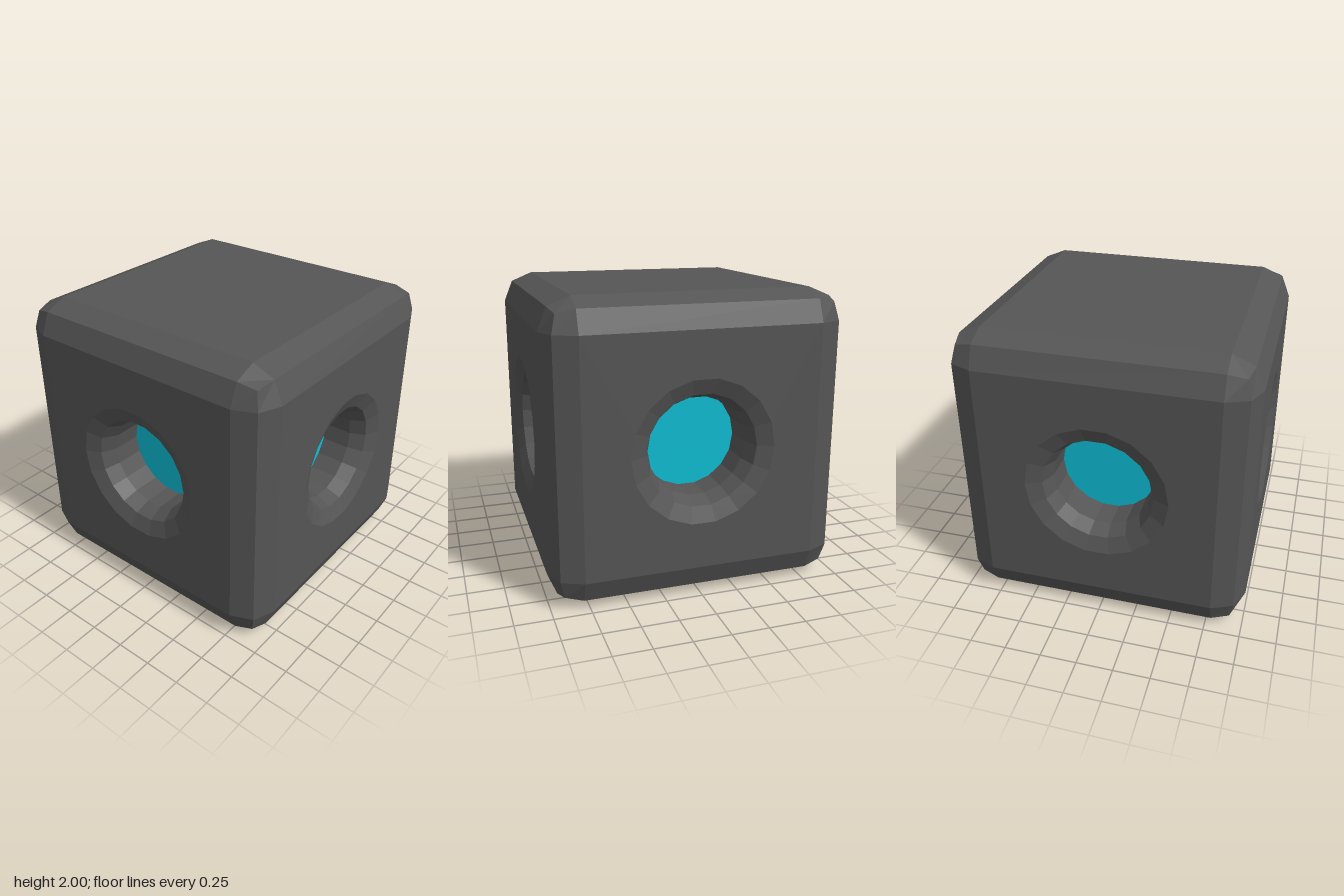
import * as THREE from 'three';
import { RoundedBoxGeometry } from 'three/addons/geometries/RoundedBoxGeometry.js';

const SIDES = 18;      // facets around each port
const BEVEL = 0.21;    // rounding of the cube edges
const RIM = 0.15;      // rounding of the port rim
const RADIUS = 0.335;  // port radius
const LENS_Z = 0.65;   // how far the lens sits from the centre

const flat = (geometry) => {
  const g = geometry.index ? geometry.toNonIndexed() : geometry;
  g.computeVertexNormals();
  return g;
};

// Bevelled cube without the flat centres of its four upright faces
function shellGeometry() {
  const box = new RoundedBoxGeometry(2, 2, 2, 1, BEVEL);
  const source = box.index ? box.toNonIndexed() : box;
  const p = source.attributes.position;
  const kept = [];
  for (let i = 0; i < p.count; i += 3) {
    const corners = [i, i + 1, i + 2];
    const onSide = ['getX', 'getZ'].some((get) => corners.every((k) => Math.abs(p[get](k)) > 0.999));
    if (!onSide) corners.forEach((k) => kept.push(p.getX(k), p.getY(k), p.getZ(k)));
  }
  const g = new THREE.BufferGeometry();
  g.setAttribute('position', new THREE.Float32BufferAttribute(kept, 3));
  return flat(g);
}

// Square panel with a polygonal opening
function panelGeometry() {
  const s = 1 - BEVEL;
  const shape = new THREE.Shape([[-s, -s], [s, -s], [s, s], [-s, s]].map(([x, y]) => new THREE.Vector2(x, y)));
  const ring = [];
  for (let i = 0; i < SIDES; i++) {
    const a = (-i / SIDES) * Math.PI * 2;
    ring.push(new THREE.Vector2(Math.cos(a), Math.sin(a)).multiplyScalar(RADIUS + RIM));
  }
  shape.holes.push(new THREE.Path(ring));
  return flat(new THREE.ShapeGeometry(shape).translate(0, 0, 1));
}

// Rounded rim running into a straight recess
function recessGeometry() {
  const mid = RIM * (1 - Math.SQRT1_2);
  const profile = [
    [RADIUS + RIM, 1], [RADIUS + mid, 1 - mid], [RADIUS, 1 - RIM], [RADIUS, LENS_Z],
  ].map(([r, z]) => new THREE.Vector2(r, z));
  return flat(new THREE.LatheGeometry(profile, SIDES, Math.PI / 2).rotateX(Math.PI / 2));
}

export function createModel() {
  const charcoal = new THREE.MeshStandardMaterial({ color: 0x555555 });
  charcoal.name = 'charcoal';
  const cyan = new THREE.MeshStandardMaterial({ color: 0x0ebcd4 });
  cyan.name = 'cyan';

  const model = new THREE.Group();
  model.name = 'portedCube';
  const add = (parent, name, geometry, material) => {
    const mesh = new THREE.Mesh(geometry, material);
    mesh.name = name;
    parent.add(mesh);
  };

  const body = new THREE.Group();
  body.name = 'body';
  body.position.y = 1;
  model.add(body);
  add(body, 'bevelledShell', shellGeometry(), charcoal);

  // The same port on all four upright sides
  const panel = panelGeometry();
  const recess = recessGeometry();
  const lens = new THREE.CircleGeometry(RADIUS, SIDES).translate(0, 0, LENS_Z);
  ['front', 'left', 'back', 'right'].forEach((side, i) => {
    const port = new THREE.Group();
    port.name = `${side}Port`;
    port.rotation.y = (i * Math.PI) / 2;
    add(port, 'panel', panel, charcoal);
    add(port, 'recess', recess, charcoal);
    add(port, 'lens', lens, cyan);
    body.add(port);
  });
  return model;
}
